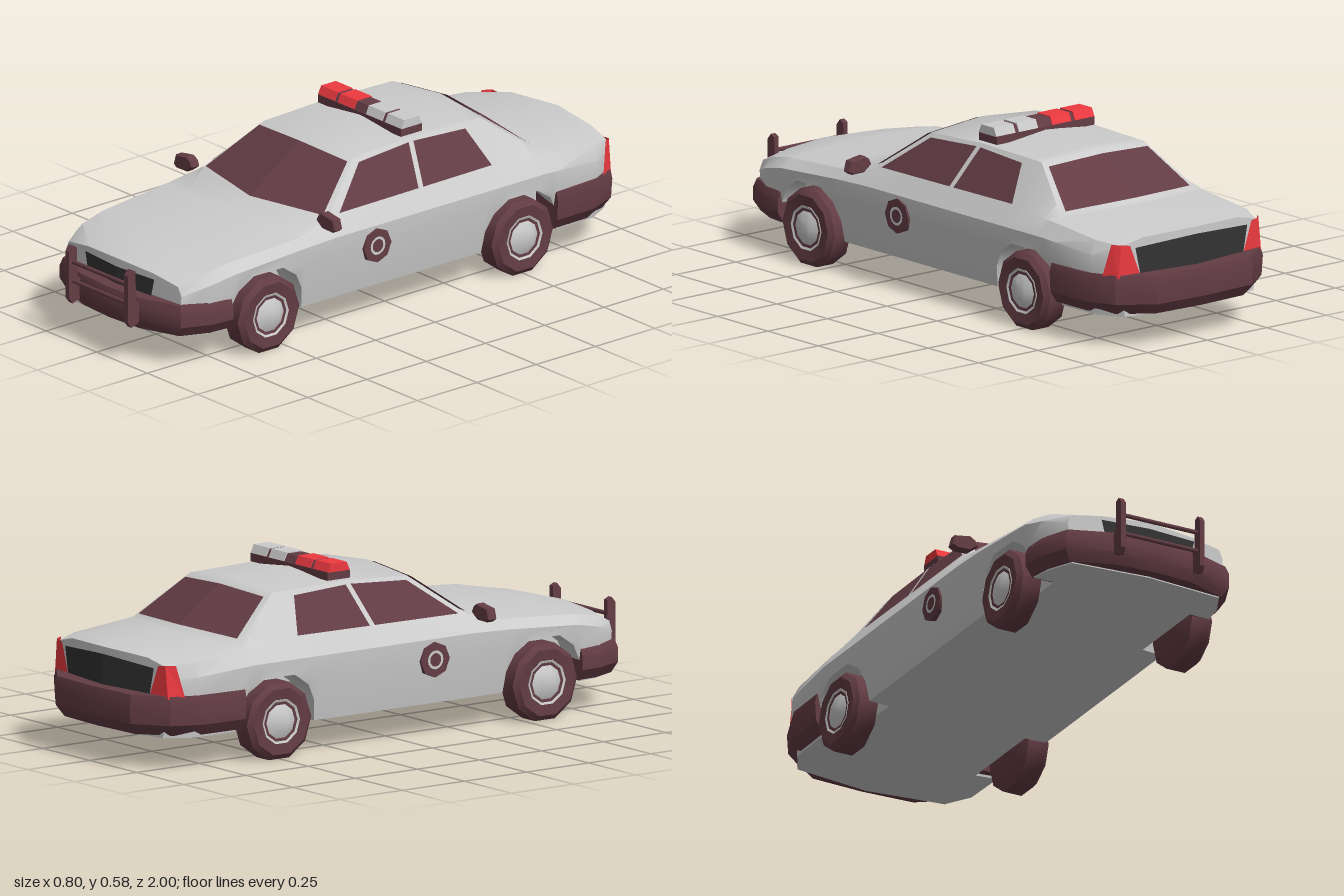
import * as THREE from 'three';
import { toCreasedNormals } from 'three/addons/utils/BufferGeometryUtils.js';

const mat = (color, side = THREE.FrontSide) => new THREE.MeshStandardMaterial({ color, side });
const grey = mat(0xcccccc), dark = mat(0x633c44), red = mat(0xee3a40);
const glass = mat(0x633c44, THREE.DoubleSide);
const black = mat(0x333333, THREE.DoubleSide), redPanel = mat(0xee3a40, THREE.DoubleSide);
const V = (x, y, z) => new THREE.Vector3(x, y, z);
const lerp = THREE.MathUtils.lerp;

// Skin closed loops of points, with fan caps on both ends
function loft(rings, crease = 0.6) {
  const n = rings[0].length, pos = [], idx = [];
  const middle = (ring) => ring.reduce((s, p) => s.add(p), V(0, 0, 0)).divideScalar(n);
  rings.flat().forEach((p) => pos.push(p.x, p.y, p.z));
  const first = rings.length * n, base = first - n;
  for (const ring of [rings[0], rings.at(-1)]) {
    const c = middle(ring);
    // keep the cap centre on the bowed nose or tail line
    if (ring.bowZ !== undefined) c.z = ring.bowZ;
    pos.push(c.x, c.y, c.z);
  }
  for (let j = 0; j < n; j++) {
    const k = (j + 1) % n;
    for (let i = 0; i < rings.length - 1; i++) {
      const a = i * n + j, b = a + n, c = (i + 1) * n + k, d = i * n + k;
      idx.push(a, b, c, a, c, d);
    }
    idx.push(first, j, k, first + 1, base + k, base + j);
  }
  const g = new THREE.BufferGeometry();
  g.setAttribute('position', new THREE.Float32BufferAttribute(pos, 3));
  g.setIndex(idx);
  return toCreasedNormals(g, crease);
}

// Body stations: z, bow, sill x, mid x y, shoulder x y, belt x y, top edge x y, centre y
const KEYS = [
  [0.88, 0.03, 0.27, 0.28, 0.20, 0.285, 0.25, 0.27, 0.28, 0.16, 0.297, 0.305],
  [0.80, 0.02, 0.31, 0.33, 0.22, 0.33, 0.28, 0.30, 0.312, 0.17, 0.325, 0.33],
  [0.71, 0.01, 0.325, 0.342, 0.24, 0.345, 0.30, 0.31, 0.33, 0.18, 0.34, 0.345],
  [0.42, 0.04, 0.325, 0.35, 0.26, 0.352, 0.32, 0.325, 0.35, 0.21, 0.362, 0.368],
  [0.28, 0.075, 0.325, 0.35, 0.26, 0.352, 0.325, 0.318, 0.372, 0.305, 0.378, 0.375],
  [0.10, 0.02, 0.325, 0.35, 0.26, 0.352, 0.325, 0.31, 0.385, 0.22, 0.515, 0.53],
  [-0.14, 0, 0.325, 0.35, 0.26, 0.352, 0.325, 0.31, 0.386, 0.216, 0.526, 0.55],
  [-0.42, -0.03, 0.325, 0.35, 0.26, 0.352, 0.325, 0.31, 0.385, 0.215, 0.52, 0.535],
  [-0.60, -0.05, 0.325, 0.35, 0.25, 0.352, 0.325, 0.318, 0.375, 0.285, 0.385, 0.395],
  [-0.82, -0.03, 0.32, 0.335, 0.24, 0.34, 0.31, 0.315, 0.355, 0.22, 0.372, 0.38],
  [-0.90, -0.045, 0.27, 0.295, 0.24, 0.295, 0.30, 0.28, 0.345, 0.20, 0.365, 0.372],
];
const WHEELS = [0.57, -0.5];
const ARCH = [[0, 0.275], [0.06, 0.275], [0.12, 0.235], [0.15, 0.18], [0.158, 0.11]];

function sillHeight(z) {
  const d = Math.min(...WHEELS.map((w) => Math.abs(z - w)));
  for (let i = 1; i < ARCH.length; i++) {
    const [d0, y0] = ARCH[i - 1], [d1, y1] = ARCH[i];
    if (d <= d1) return lerp(y0, y1, (d - d0) / (d1 - d0));
  }
  return 0.11;
}

// Half cross-section of the body at z, from floor centre to top centre
function section(z) {
  let i = 1;
  while (i < KEYS.length - 1 && z < KEYS[i][0]) i++;
  const A = KEYS[i - 1], B = KEYS[i], t = (z - A[0]) / (B[0] - A[0]);
  const [, bow, sx, mx, my, hx, hy, bx, by, rx, ry, cy] = A.map((a, k) => lerp(a, B[k], t));
  const sy = sillHeight(z), k = (sy - 0.11) / 0.165;
  return [[0, 0.11], [0.25, 0.11], [0.25, sy], [lerp(sx, mx, k), sy], [mx, Math.max(my, sy + 0.015)],
    [hx, hy], [bx, by], [rx, ry], [0, cy]].map(([x, y]) => V(x, y, z + bow * (1 - x / 0.35)));
}
const flipX = (p) => V(-p.x, p.y, p.z);
const mirrored = (half) => [...half, ...half.slice(1, -1).reverse().map(flipX)];

// Thin polygon from its corners
function panel(points) {
  const g = new THREE.BufferGeometry(), pos = [];
  for (let i = 1; i < points.length - 1; i++)
    for (const p of [points[0], points[i], points[i + 1]]) pos.push(p.x, p.y, p.z);
  g.setAttribute('position', new THREE.Float32BufferAttribute(pos, 3));
  g.computeVertexNormals();
  return g;
}

// Profile in (z, y) swept across x from x0 to x1
function across(profile, x0, x1) {
  const s = new THREE.Shape(profile.map(([z, y]) => new THREE.Vector2(-z, y)));
  const g = new THREE.ExtrudeGeometry(s, { depth: x1 - x0, bevelEnabled: false });
  return g.rotateY(Math.PI / 2).translate(x0, 0, 0);
}

export function createModel() {
  const car = new THREE.Group();
  car.name = 'patrolCar';
  const add = (name, geo, material, parent = car) => {
    const m = new THREE.Mesh(geo, material);
    m.name = name;
    parent.add(m);
    return m;
  };
  const pair = (name, points, material) => {
    add(name + 'Left', panel(points), material);
    add(name + 'Right', panel(points.map(flipX).reverse()), material);
  };

  // Body shell with wheel arches
  const stations = new Set(KEYS.map((k) => k[0]));
  for (const w of WHEELS) for (const [d] of ARCH) stations.add(w + d).add(w - d);
  const rings = [...stations].sort((a, b) => b - a).map((z) => mirrored(section(z)));
  for (const r of [rings[0], rings.at(-1)]) r.bowZ = r[0].z;
  add('body', loft(rings), grey);

  // Windscreens laid on the faces between two stations
  const screen = (name, z0, z1, v0, v1, u) => {
    const a = section(z0), b = section(z1);
    const out = V(0, 0.005, 0.004 * Math.sign(z0));
    const at = (s, v) => a[7].clone().lerp(b[7], v).lerp(a[8].clone().lerp(b[8], v), 1 - s).add(out);
    pair(name, [at(0, v0), at(u, v0), at(u, v1), at(0, v1)], glass);
  };
  screen('windscreen', 0.28, 0.10, 0.02, 0.91, 0.955);
  screen('rearWindow', -0.60, -0.42, 0.06, 0.88, 0.93);

  // Side windows on the sloping cabin side
  const onSide = ([z, y]) => V(0.317 - (y - 0.385) * 0.692, y, z);
  pair('frontSideWindow', [[0.245, 0.388], [0.095, 0.503], [-0.122, 0.515], [-0.09, 0.39]].map(onSide), glass);
  pair('rearSideWindow', [[-0.11, 0.39], [-0.142, 0.515], [-0.355, 0.506], [-0.40, 0.392]].map(onSide), glass);

  // Grille, tail panel and tail lights
  const front = (x, y) => V(x, y, 0.917 - 0.03 * x / 0.35);
  pair('grille', [front(0, 0.215), front(0.155, 0.215), front(0.17, 0.28), front(0, 0.28)], black);
  const back = (x, y) => V(x, y, -0.951 + 0.045 * x / 0.35);
  pair('tailPanel', [back(0, 0.24), back(0.215, 0.24), back(0.235, 0.335), back(0, 0.35)], black);
  pair('tailLight', [back(0.215, 0.24), back(0.30, 0.24), back(0.288, 0.35), back(0.255, 0.345)], redPanel);
  pair('tailLightSide', [back(0.30, 0.24), V(0.324, 0.24, -0.86), V(0.306, 0.35, -0.885), back(0.288, 0.35)], redPanel);

  // Wrap-around bumpers
  const bumper = (name, outline, levels) => {
    const z0 = outline[0][1];
    add(name, loft(levels.map(([y, s]) => {
      const half = outline.map(([x, z]) => V(x * s, y, z0 + (z - z0) * s));
      return [...half, ...half.slice(0, -1).reverse().map(flipX)];
    }), 0.5), dark);
  };
  bumper('frontBumper', [[0.348, 0.72], [0.342, 0.80], [0.30, 0.90], [0.15, 0.955], [0, 0.965]],
    [[0.114, 0.93], [0.15, 1], [0.195, 1], [0.222, 0.965]]);
  bumper('rearBumper', [[0.358, -0.64], [0.355, -0.80], [0.31, -0.91], [0.20, -0.99], [0, -1]],
    [[0.25, 0.98], [0.22, 1], [0.155, 0.99], [0.118, 0.92]]);

  // Wheels, hubs, side discs and door mirrors
  const lathe = (pts, n) => toCreasedNormals(
    new THREE.LatheGeometry(pts.map(([r, h]) => new THREE.Vector2(r, h)), n), 0.7);
  const tyre = lathe([[0, 0.265], [0.105, 0.265], [0.13, 0.278], [0.13, 0.345], [0.112, 0.36], [0.075, 0.356], [0, 0.345]], 10);
  const hub = lathe([[0.077, 0.345], [0.075, 0.358], [0.06, 0.352], [0.03, 0.366], [0, 0.366]], 10);
  const disc = new THREE.CylinderGeometry(0.058, 0.058, 0.022, 8).translate(0, 0.347, 0);
  const ring = new THREE.RingGeometry(0.022, 0.031, 16).rotateX(-Math.PI / 2).translate(0, 0.3595, 0);
  const mirrorShape = new THREE.Shape([[0.305, 0.385], [0.335, 0.363], [0.385, 0.362], [0.40, 0.372],
    [0.39, 0.407], [0.333, 0.416], [0.315, 0.405]].map(([x, y]) => new THREE.Vector2(x, y)));
  const mirrorGeo = new THREE.ExtrudeGeometry(mirrorShape, {
    depth: 0.024, bevelEnabled: true, bevelSize: 0.004, bevelOffset: -0.004, bevelThickness: 0.005, bevelSegments: 1,
  });
  for (const [label, s] of [['Left', 1], ['Right', -1]]) {
    const turned = (name, geo, material, y, z) => {
      const m = add(name + label, geo, material);
      m.rotation.z = -s * Math.PI / 2;
      m.position.set(0, y, z);
    };
    WHEELS.forEach((z, i) => {
      turned(i ? 'rearTyre' : 'frontTyre', tyre, dark, 0.13, z);
      turned(i ? 'rearHub' : 'frontHub', hub, grey, 0.13, z);
    });
    turned('sideDisc', disc, dark, 0.258, 0.12);
    turned('sideDiscRing', ring, grey, 0.258, 0.12);
    const m = add('doorMirror' + label, mirrorGeo, dark);
    if (s < 0) m.rotation.y = Math.PI;
    m.position.z = s > 0 ? 0.308 : 0.332;
  }

  // Roof light bar
  const bar = new THREE.Group();
  bar.name = 'lightBar';
  car.add(bar);
  add('lightBarBase', across([[-0.108, 0.53], [-0.108, 0.557], [-0.198, 0.557], [-0.198, 0.53]], -0.205, 0.205), dark, bar);
  const lamp = (z0, z1, y) => [[z0, 0.556], [z0 - 0.013, y], [z1 + 0.013, y], [z1, 0.556]];
  add('lightBarCore', across(lamp(-0.112, -0.194, 0.581), -0.204, 0.204), dark, bar);
  for (const [x0, x1] of [[0.03, 0.11], [0.125, 0.206]]) {
    add('redLamp', across(lamp(-0.109, -0.197, 0.584), -x1, -x0), red, bar);
    add('whiteLamp', across(lamp(-0.109, -0.197, 0.584), x0, x1), grey, bar);
  }

  // Front push bar
  const upright = [[0.955, 0.14], [0.985, 0.13], [1, 0.15], [1, 0.31], [0.985, 0.328], [0.968, 0.32], [0.965, 0.22], [0.94, 0.2]];
  for (const s of [-1, 1]) add('pushBarUpright', across(upright, s * 0.145 - 0.009, s * 0.145 + 0.009), dark);
  for (const y of [0.272, 0.207]) {
    const g = new THREE.CylinderGeometry(0.007, 0.007, 0.29, 6).rotateZ(Math.PI / 2);
    add('pushBarRail', g.translate(0, y, 0.982), dark);
  }
  return car;
}
